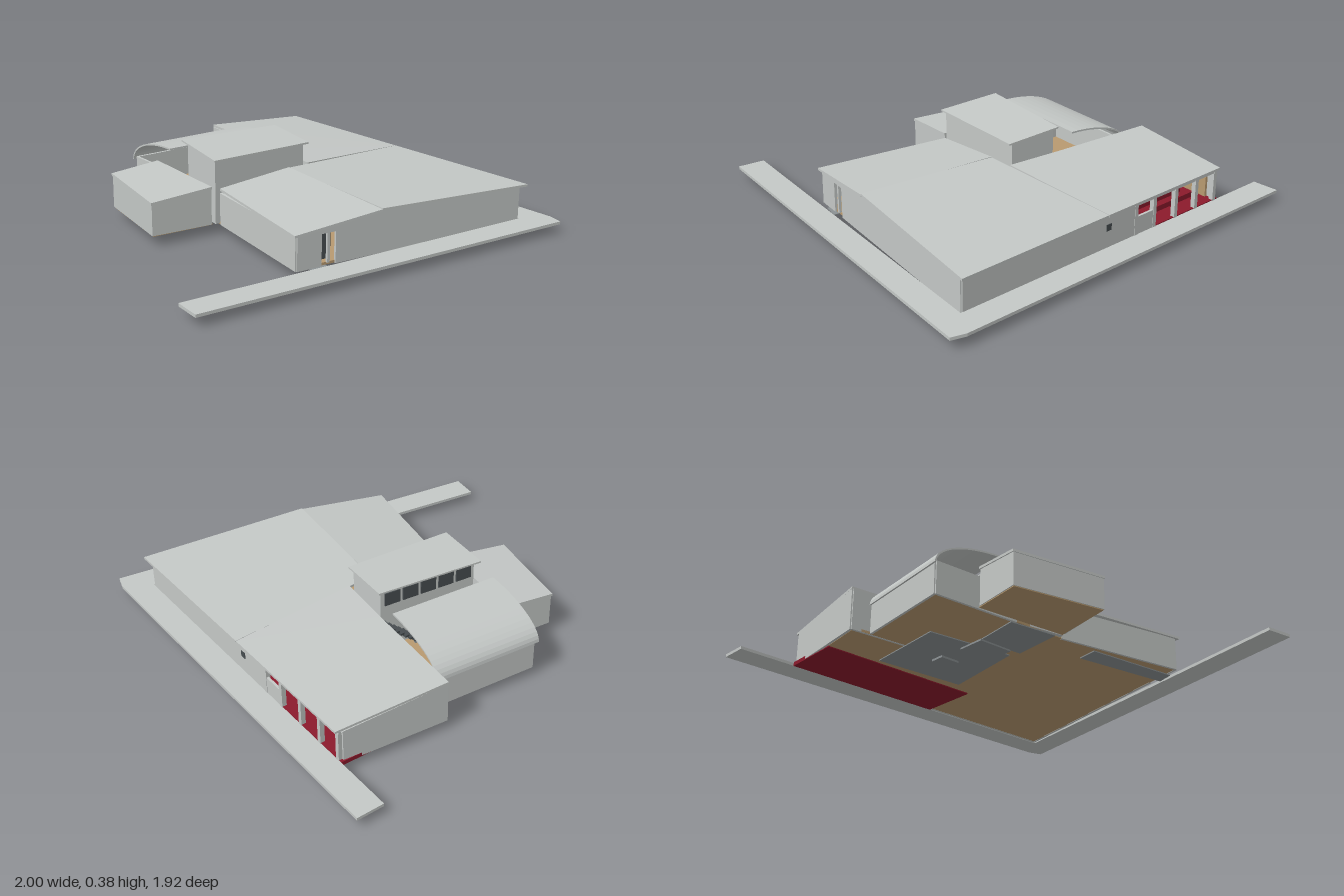
import * as THREE from 'three';

const mat = (name, hex, double) => {
  const m = new THREE.MeshStandardMaterial({ color: hex });
  m.name = name;
  if (double) m.side = THREE.DoubleSide;
  return m;
};

export function createModel() {
  const model = new THREE.Group();
  model.name = 'building';
  const grey = mat('paleGrey', 0xc4c8c6, true);
  const dark = mat('darkGrey', 0x474d50);
  const slate = mat('slabGrey', 0x8b9193);
  const tan = mat('tan', 0xb89a70);
  const red = mat('red', 0x8c1a2c);

  const fn = (h) => (typeof h === 'function' ? h : () => h);

  // solid over a plan outline [x, z], with constant or sloping bottom and top
  function slab(name, pts, bottom, top, material, parent = model) {
    const shape = new THREE.Shape(pts.map(([x, z]) => new THREE.Vector2(x, -z)));
    const g = new THREE.ExtrudeGeometry(shape, { depth: 1, bevelEnabled: false });
    g.rotateX(-Math.PI / 2);
    const p = g.attributes.position;
    const b = fn(bottom), t = fn(top);
    for (let i = 0; i < p.count; i++) {
      const x = p.getX(i), z = p.getZ(i), k = p.getY(i);
      p.setY(i, b(x, z) * (1 - k) + t(x, z) * k);
    }
    g.computeVertexNormals();
    const mesh = new THREE.Mesh(g, material);
    mesh.name = name;
    parent.add(mesh);
    return mesh;
  }

  // thin upright wall between two plan points
  function wall(name, a, b, bottom, top, material = grey, t = 0.012) {
    const dx = b[0] - a[0], dz = b[1] - a[1], l = Math.hypot(dx, dz);
    const nx = (-dz / l) * t / 2, nz = (dx / l) * t / 2;
    return slab(name, [
      [a[0] + nx, a[1] + nz], [b[0] + nx, b[1] + nz],
      [b[0] - nx, b[1] - nz], [a[0] - nx, a[1] - nz],
    ], bottom, top, material);
  }
  const mix = (a, b, k) => [a[0] + (b[0] - a[0]) * k, a[1] + (b[1] - a[1]) * k];
  const rect = (x0, x1, z0, z1) => [[x0, z0], [x1, z0], [x1, z1], [x0, z1]];

  // roof surface: a ridge with gentle falls to the back and front
  const ridge = (x) => (x < 0.042 ? -0.325 + 0.084 * (x + 0.765) : -0.13 + 0.115 * (x - 0.035));
  const roofY = (x, z) => {
    const r = ridge(x);
    return z < r ? 0.25 - 0.035 * (r - z) / (r + 0.86) : 0.25 - 0.04 * (z - r) / 0.44;
  };
  const under = (x, z) => roofY(x, z) - 0.006;
  const over = (x, z) => roofY(x, z) + 0.005;

  // walkways
  slab('walkway', [[-1, -0.965], [0.93, -0.965], [1, -0.945], [0.715, 0.957], [0.585, 0.94],
    [0.85, -0.835], [-1, -0.835]], 0.042, 0.056, grey);

  // floors and foundation slabs
  slab('hallFloor', [[0.11, -0.83], [0.84, -0.83], [0.63, 0.36], [-0.01, 0.24], [-0.27, 0.23],
    [-0.71, 0.2], [-0.665, -0.31], [-0.75, -0.32], [-0.725, -0.54], [0.11, -0.54]], 0.046, 0.058, tan);
  slab('annexFloor', [[-0.49, 0.225], [-0.035, 0.27], [-0.085, 0.57], [-0.52, 0.475]], 0.046, 0.05, tan);
  slab('redFloor', [[-0.715, -0.835], [0.11, -0.835], [0.11, -0.54], [-0.725, -0.54]], 0.041, 0.06, red);
  slab('foundation', [[-0.46, -0.51], [0, -0.48], [-0.06, -0.05], [-0.49, -0.1]], 0.041, 0.046, slate);
  slab('towerFoundation', [[-0.27, -0.02], [-0.04, 0], [-0.06, 0.25], [-0.3, 0.22]], 0.041, 0.046, slate);
  slab('wingFoundation', [[0.2, 0.15], [0.68, 0.22], [0.66, 0.3], [0.19, 0.25]], 0.041, 0.046, slate);
  slab('lowerSlab', rect(-0.28, -0.1, -0.14, 0), 0.033, 0.042, slate);
  slab('sunkenPad', rect(-0.335, -0.235, -0.275, -0.205), 0, 0.01, slate);

  // main roofs
  slab('rearRoofWest', [[-0.7, -0.852], [0.041, -0.856], [0.041, -0.25], [-0.23, -0.28], [-0.765, -0.325]],
    under, over, grey);
  slab('rearRoofEast', [[0.043, -0.856], [0.865, -0.862], [0.727, -0.05], [0.043, -0.129]], under, over, grey);
  slab('frontRoof', [[0.043, -0.129], [0.727, -0.05], [0.645, 0.382], [-0.003, 0.25]],
    (x, z) => 0.244 - 0.04 * (z + 0.1) / 0.45, (x, z) => 0.255 - 0.04 * (z + 0.1) / 0.45, grey);

  // back wall, with a high window and an open colonnade toward -x
  const B = -0.83;
  wall('backWall', [0.84, B], [0.043, B], 0.045, under);
  wall('backWall', [0.043, B], [-0.15, B], 0.045, under);
  wall('backWallSill', [-0.15, B], [-0.27, B], 0.045, 0.14);
  wall('colonnadeLintel', [-0.15, B], [-0.7, B], 0.192, under);
  [-0.155, -0.275, -0.42, -0.56, -0.69].forEach((x) =>
    slab('column', rect(x - 0.01, x + 0.01, B - 0.008, B + 0.014), 0.045, 0.2, grey));
  slab('smallWindow', rect(0.005, 0.035, B - 0.009, B - 0.005), 0.135, 0.165, dark);
  // red seating rows and a tan screen behind the colonnade
  for (let i = 0; i < 3; i++)
    slab('seatRow', rect(-0.64, -0.3, -0.75 + i * 0.07, -0.72 + i * 0.07), 0.058, 0.085 + i * 0.012, red);
  wall('tanScreen', [-0.69, -0.79], [-0.71, -0.56], 0.058, 0.2, tan);
  wall('innerWall', [-0.73, -0.53], [0.11, -0.53], 0.058, under);

  // outer side walls
  wall('westWall', [-0.703, -0.82], [-0.758, -0.325], 0.045, under);
  wall('courtWall', [-0.758, -0.325], [-0.225, -0.283], 0.045, under);
  const e0 = [0.84, B], e1 = [0.632, 0.36], zk = (z) => (z - B) / (0.36 - B);
  const d0 = mix(e0, e1, zk(0.17)), d1 = mix(e0, e1, zk(0.24));
  wall('eastWall', e0, mix(e0, e1, zk(-0.07)), 0.045, under);
  wall('eastWall', mix(e0, e1, zk(-0.07)), d0, 0.045, under);
  wall('eastWall', d1, e1, 0.045, under);
  wall('doorLintel', d0, d1, 0.19, under);
  const inset = ([x, z]) => [x - 0.04, z - 0.006];
  wall('door', inset(d0), inset(d1), 0.055, 0.2, dark);
  wall('doorPost', mix(d0, d1, 0.42), mix(d0, d1, 0.6), 0.055, 0.19);
  wall('frontWall', [-0.01, 0.238], e1, 0.045, under);

  // front annex
  const annexY = (x, z) => 0.235 - 0.08 * (z - 0.25);
  const annex = [[-0.495, 0.235], [-0.028, 0.28], [-0.083, 0.575], [-0.525, 0.477]];
  slab('annexWalls', annex, 0.05, (x, z) => annexY(x, z) - 0.008, grey);
  slab('annexRoof', [[-0.5, 0.232], [-0.025, 0.28], [-0.08, 0.58], [-0.53, 0.48]],
    (x, z) => annexY(x, z) - 0.012, annexY, grey);

  // tower
  const towerY = (x) => 0.382 - 0.072 * (x + 0.31);
  const tw = [[-0.215, -0.265], [0.02, -0.24], [-0.022, 0.262], [-0.275, 0.22]];
  slab('towerWalls', tw, 0.05, (x) => towerY(x) - 0.008, grey);
  slab('towerRoof', [[-0.23, -0.282], [0.045, -0.25], [-0.005, 0.278], [-0.312, 0.23]],
    (x) => towerY(x) - 0.008, towerY, grey);
  // clerestory windows on the court side
  const out = ([x, z]) => [x - 0.004, z];
  for (let i = 0; i < 5; i++) {
    const k = 0.04 + i * 0.19;
    wall('towerWindow', out(mix(tw[0], tw[3], k)), out(mix(tw[0], tw[3], k + 0.16)), 0.29, 0.355, dark, 0.006);
  }

  // curved court roof
  const profile = new THREE.Shape();
  const N = 14;
  const arc = (i, d) => {
    const a = (i / N) * Math.PI / 2;
    return [0.35 * (1 - Math.cos(a)) + d * Math.cos(a), 0.187 + 0.138 * Math.sin(a) - d * Math.sin(a)];
  };
  for (let i = 0; i <= N; i++) i ? profile.lineTo(...arc(i, 0)) : profile.moveTo(...arc(0, 0));
  for (let i = N; i >= 0; i--) profile.lineTo(...arc(i, 0.008));
  const cg = new THREE.ExtrudeGeometry(profile, { depth: 1, bevelEnabled: false });
  const cp = cg.attributes.position;
  for (let i = 0; i < cp.count; i++) {
    const u = cp.getX(i), k = cp.getZ(i);
    cp.setX(i, u - 0.675 - 0.055 * k);
    cp.setZ(i, -0.31 + 0.525 * k + 0.086 * u);
  }
  cg.computeVertexNormals();
  const curved = new THREE.Mesh(cg, grey);
  curved.name = 'curvedRoof';
  model.add(curved);

  // court walls
  wall('courtWestWall', [-0.662, -0.305], [-0.712, 0.2], 0.045, 0.2);
  wall('courtFrontWall', [-0.712, 0.2], [-0.275, 0.225], 0.045, 0.2);

  // stair and handrail in the open strip beside the tower
  const stair = new THREE.Group();
  stair.name = 'stair';
  model.add(stair);
  for (let i = 0; i < 8; i++) {
    const z = -0.085 - i * 0.024, x = -0.262 - 0.11 * (z + 0.08);
    slab('step', rect(x - 0.065, x + 0.012, z - 0.02, z), 0.07 + i * 0.02, 0.08 + i * 0.02, dark, stair);
  }
  slab('handrail', [[-0.322, -0.15], [-0.31, -0.15], [-0.33, 0], [-0.342, 0]], 0.1, 0.112, slate, stair);

  return model;
}
